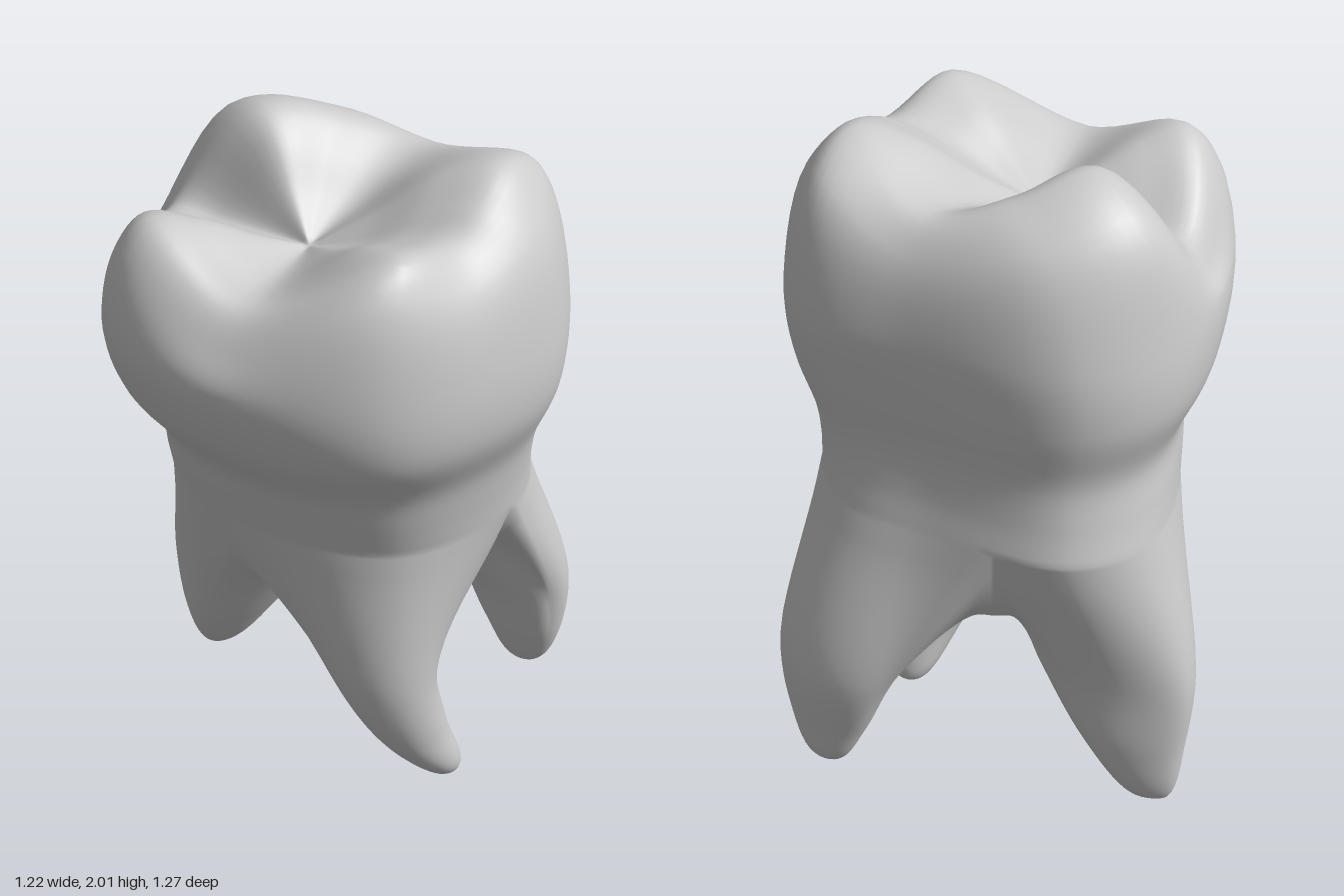
import * as THREE from 'three';
import { mergeGeometries, mergeVertices } from 'three/addons/utils/BufferGeometryUtils.js';

const V = (x, y, z) => new THREE.Vector3(x, y, z);
const N = 80; // points around the crown

// Widest outline of the crown, and the matching ridge of cusps and notches above it
const OUTLINE = [
  [0.61, 0], [0.53, 0.34], [0.2, 0.59], [-0.2, 0.61], [-0.46, 0.3],
  [-0.53, 0], [-0.42, -0.25], [-0.02, -0.43], [0.3, -0.51], [0.55, -0.3],
];
const CREST = [
  [0.43, 1.9, 0], [0.45, 1.94, 0.22], [0.18, 1.78, 0.46], [-0.15, 1.9, 0.49], [-0.36, 1.74, 0.25],
  [-0.26, 2, 0.05], [-0.15, 1.95, -0.17], [0.03, 1.89, -0.3], [0.34, 2, -0.24], [0.42, 1.95, -0.12],
];
// Height and extents of the outline down to the trunk: y, xMin, xMax, zMin, zMax
const SECTIONS = [
  [1.6, -0.52, 0.6, -0.5, 0.635],
  [1.4, -0.53, 0.6, -0.485, 0.58],
  [1.22, -0.48, 0.53, -0.45, 0.465],
  [1.1, -0.495, 0.505, -0.45, 0.43],
  [1.0, -0.515, 0.49, -0.465, 0.4],
];
const PIT = V(0.03, 1.75, 0.12);

// Where the trunk divides: index on the trunk ring and height of each arch
const FORK = V(0, 0.74, -0.06);
const ARCH = { front: [19, 0.62], back: [52, 0.62], side: [76, 0.75] };

// Roots: bounding arches, ellipses (y, cx, rx, cz, rz) and tip; taper narrows the -x side
const ROOTS = [
  { name: 'rightRoot', from: ARCH.front, to: ARCH.back, tip: V(-0.51, 0.02, 0.04), taper: 0.35,
    rings: [[0.5, -0.38, 0.23, 0.05, 0.21], [0.25, -0.45, 0.15, 0.045, 0.15], [0.055, -0.505, 0.065, 0.04, 0.06]] },
  { name: 'backRoot', from: ARCH.back, to: ARCH.side, tip: V(0.23, 0.09, -0.54), taper: 0,
    rings: [[0.5, 0.2, 0.21, -0.49, 0.14], [0.25, 0.23, 0.135, -0.53, 0.085], [0.12, 0.23, 0.065, -0.545, 0.045]] },
  { name: 'leftRoot', from: ARCH.side, to: ARCH.front, tip: V(0.36, 0, -0.09), taper: 0,
    rings: [[0.5, 0.3, 0.165, 0.1, 0.15], [0.25, 0.35, 0.1, 0.03, 0.11], [0.045, 0.365, 0.06, -0.08, 0.055]] },
];

const closedCurve = (points) => new THREE.CatmullRomCurve3(points, true).getPoints(N).slice(0, N);

// Skin over a closed loop of paths, each running from the top down
function skin(paths, steps) {
  const pos = [], index = [], rows = steps + 1, n = paths.length;
  for (const path of paths) {
    for (const p of new THREE.CatmullRomCurve3(path).getPoints(steps)) pos.push(p.x, p.y, p.z);
  }
  for (let i = 0; i < n; i++) {
    for (let j = 0; j < steps; j++) {
      const a = i * rows + j, b = ((i + 1) % n) * rows + j;
      index.push(a, b, a + 1, b, b + 1, a + 1);
    }
  }
  const geo = new THREE.BufferGeometry();
  geo.setAttribute('position', new THREE.Float32BufferAttribute(pos, 3));
  geo.setIndex(index);
  return geo;
}

// Outline stretched to the extents of one section
function sectionRing([y, x0, x1, z0, z1], outline) {
  return outline.map((p) => V(
    THREE.MathUtils.mapLinear(p.x, -0.53, 0.61, x0, x1), y,
    THREE.MathUtils.mapLinear(p.z, -0.51, 0.635, z0, z1)));
}

// Crown: from the central pit over the ridge and down to the trunk
function crownGeometry(rings) {
  const crest = closedCurve(CREST.map((c) => V(...c)));
  const paths = crest.map((top, i) => {
    const slope = [[0.33, 0.36], [0.68, 0.82]].map(([s, rise]) => {
      const p = PIT.clone().lerp(top, s);
      p.y = THREE.MathUtils.lerp(PIT.y, top.y, rise);
      return p;
    });
    const shoulder = rings[0][i].clone().lerp(top, 0.35);
    shoulder.y = top.y - 0.09;
    return [PIT, ...slope, top, shoulder, ...rings.map((r) => r[i])];
  });
  return skin(paths, 54);
}

// Arch between two roots, from the trunk ring in to the fork
function archPoints(start, low) {
  const a = start.clone().lerp(FORK, 0.18).setY(low);
  const b = start.clone().lerp(FORK, 0.55).setY(low - 0.06);
  return new THREE.CubicBezierCurve3(start, a, b, FORK).getPoints(12);
}

// Root: a sector of the trunk closed by two arches, tapering to the tip
function rootGeometry({ from, to, rings, tip, taper }, trunk) {
  const [i0, low0] = from, i1 = to[0] > i0 ? to[0] : to[0] + N;
  const sideways = (p, sign) => V(-(p.z - FORK.z) * sign, 0, (p.x - FORK.x) * sign).normalize();
  const side0 = sideways(trunk[i0], 1), side1 = sideways(trunk[i1 % N], -1);
  const arch0 = archPoints(trunk[i0], low0), arch1 = archPoints(trunk[i1 % N], to[1]);

  // Loop entries: point, sideways direction, share of the sideways direction
  const loop = [];
  for (let i = i0; i <= i1; i++) loop.push([trunk[i % N], side0, 0]);
  const share = (k) => THREE.MathUtils.smoothstep(k, 0, 6);
  for (let k = 1; k < 12; k++) loop.push([arch1[k], side1, share(k)]);
  loop.push([FORK, side0.clone().add(side1).normalize(), 1]);
  for (let k = 11; k > 0; k--) loop.push([arch0[k], side0, share(k)]);

  const mid = V(0, 0, 0);
  loop.forEach(([p]) => mid.addScaledVector(p, 1 / loop.length));
  const paths = loop.map(([p, side, amount]) => {
    const angle = Math.atan2(p.z - mid.z, p.x - mid.x);
    const c = Math.cos(angle), s = Math.sin(angle) * (1 + taper * c);
    const below = rings.map(([y, cx, rx, cz, rz]) => V(cx + rx * c, y, cz + rz * s));
    const reach = p.distanceTo(below[0]);
    const dir = below[0].clone().sub(p).normalize().lerp(side, amount).normalize();
    return [p, p.clone().addScaledVector(dir, reach * 0.2), ...below, tip];
  });
  return skin(paths, 40);
}

export function createModel() {
  const group = new THREE.Group();
  group.name = 'molar';
  const material = new THREE.MeshStandardMaterial({ color: 0xcccccc });

  const outline = closedCurve(OUTLINE.map(([x, z]) => V(x, 0, z)));
  const rings = SECTIONS.map((s) => sectionRing(s, outline));
  const trunk = rings[rings.length - 1];
  const parts = [['crown', crownGeometry(rings)], ...ROOTS.map((r) => [r.name, rootGeometry(r, trunk)])];

  // Shared smooth normals so that the parts meet without a seam
  const whole = mergeVertices(mergeGeometries(parts.map(([, geo]) => geo)), 1e-4);
  whole.computeVertexNormals();
  let start = 0;
  for (const [name, geo] of parts) {
    const count = geo.index.count;
    const part = new THREE.BufferGeometry();
    part.setAttribute('position', whole.attributes.position);
    part.setAttribute('normal', whole.attributes.normal);
    part.setIndex(Array.from(whole.index.array.slice(start, start + count)));
    start += count;
    const mesh = new THREE.Mesh(part, material);
    mesh.name = name;
    group.add(mesh);
  }
  return group;
}
